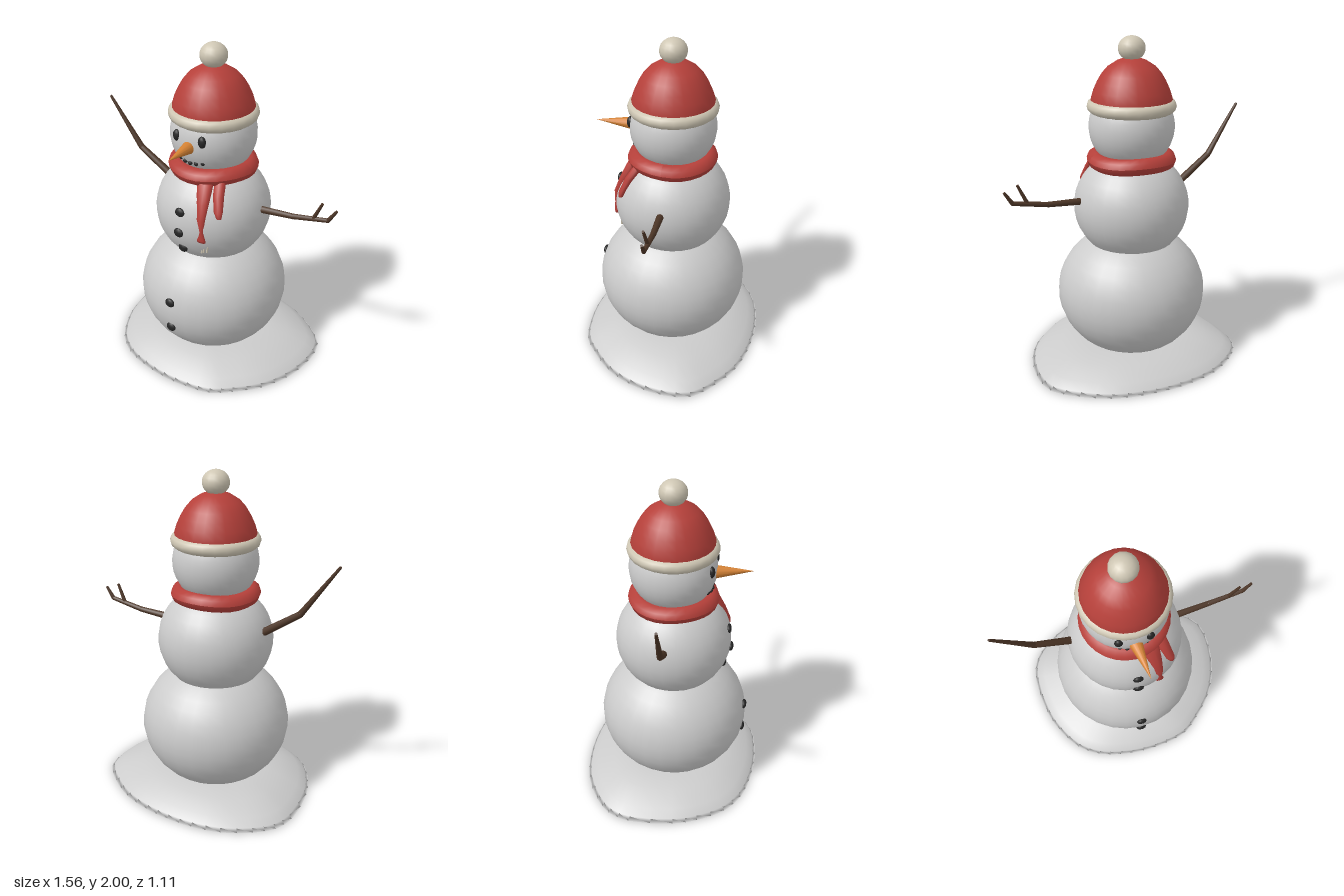
import * as THREE from 'three';

const mat = (color, extra = {}) => new THREE.MeshStandardMaterial({ color, ...extra });
const V = (x, y, z) => new THREE.Vector3(x, y, z);
const AXIS = -0.025; // x of the snowman's own axis

// Skin closed rings (listed bottom to top, counter-clockwise from above) and cap both ends
function loft(rings) {
  const n = rings[0].length, pos = [], idx = [];
  rings.forEach(r => r.forEach(p => pos.push(p.x, p.y, p.z)));
  for (let k = 0; k < rings.length - 1; k++) {
    for (let i = 0; i < n; i++) {
      const a = k * n + i, b = k * n + (i + 1) % n;
      idx.push(a, b, a + n, b, b + n, a + n);
    }
  }
  [0, rings.length - 1].forEach(k => {
    const c = pos.length / 3, mid = V(0, 0, 0);
    rings[k].forEach(p => mid.addScaledVector(p, 1 / n));
    pos.push(mid.x, mid.y, mid.z);
    for (let i = 0; i < n; i++) {
      const a = k * n + i, b = k * n + (i + 1) % n;
      if (k === 0) idx.push(c, b, a);
      else idx.push(c, a, b);
    }
  });
  const g = new THREE.BufferGeometry();
  g.setAttribute('position', new THREE.Float32BufferAttribute(pos, 3));
  g.setIndex(idx);
  g.computeVertexNormals();
  return g;
}

export function createModel() {
  const model = new THREE.Group();
  model.name = 'snowman';
  const snow = mat(0xcccccc), red = mat(0xb5403a), cream = mat(0xcfc7b4);
  const coal = mat(0x262626), carrot = mat(0xd58233), wood = mat(0x4d3627);

  const add = (name, geometry, material, x = 0, y = 0, z = 0, parent = model) => {
    const mesh = new THREE.Mesh(geometry, material);
    mesh.name = name;
    mesh.position.set(x, y, z);
    parent.add(mesh);
    return mesh;
  };
  const ball = (name, material, x, y, z, rx, ry, rz, seg = 24) => {
    const mesh = add(name, new THREE.SphereGeometry(1, seg, Math.ceil(seg * 0.65)), material, x, y, z);
    mesh.scale.set(rx, ry, rz);
    return mesh;
  };

  // Snow patch: uneven outline, domed in rings
  const outline = new THREE.CatmullRomCurve3([
    [0.65, -0.1], [0.62, -0.28], [0.485, -0.405], [0.32, -0.5], [0.14, -0.545], [-0.025, -0.557],
    [-0.19, -0.545], [-0.365, -0.5], [-0.53, -0.4], [-0.625, -0.3], [-0.665, -0.165], [-0.635, 0.11],
    [-0.58, 0.255], [-0.475, 0.41], [-0.34, 0.5], [-0.19, 0.54], [-0.025, 0.555], [0.15, 0.54],
    [0.3, 0.5], [0.41, 0.41], [0.535, 0.275], [0.615, 0.11],
  ].map(([x, z]) => V(x, 0, z)), true).getPoints(44).slice(0, 44);
  const patch = [[1, 0], [0.97, 0.02], [0.89, 0.055], [0.7, 0.105], [0.5, 0.125], [0.25, 0.13]];
  add('snowPatch', loft(patch.map(([s, y]) =>
    outline.map(p => V(AXIS + (p.x - AXIS) * s, y, p.z * s)))), snow);

  // Three snowballs
  ball('lowerBody', snow, AXIS, 0.43, 0.005, 0.46, 0.41, 0.46, 28);
  ball('upperBody', snow, AXIS, 0.99, 0.003, 0.35, 0.335, 0.35, 28);
  ball('head', snow, AXIS, 1.475, 0, 0.255, 0.25, 0.255, 28);

  // Coal buttons
  [[1.085, 0.335], [0.958, 0.352], [0.836, 0.313], [0.513, 0.456], [0.328, 0.452]].forEach(([y, z]) =>
    ball('button', coal, AXIS, y, z, 0.033, 0.029, 0.017, 10));

  // Face
  [-1, 1].forEach(s => ball('eye', coal, AXIS + s * 0.087, 1.51, 0.232, 0.025, 0.035, 0.02, 12));
  [-2, -1, 0, 1, 2].forEach(i =>
    ball('mouthCoal', coal, AXIS + i * 0.038, 1.36 + 0.0025 * i * i, 0.228 - 0.004 * i * i, 0.014, 0.014, 0.012, 8));
  const nose = add('nose', new THREE.ConeGeometry(0.044, 0.25, 12).rotateX(Math.PI / 2), carrot, -0.008, 1.468, 0.335);
  nose.rotation.set(-0.05, 0.13, 0);

  // Hat: dome, rolled brim and bobble
  const dome = [[0.24, 1.59], [0.24, 1.64], [0.225, 1.69], [0.202, 1.74], [0.175, 1.785],
    [0.14, 1.825], [0.085, 1.86], [0.035, 1.876], [0, 1.88]].map(([r, y]) => new THREE.Vector2(r, y));
  add('hatDome', new THREE.LatheGeometry(dome, 24), red, AXIS);
  const brim = add('hatBrim', new THREE.TorusGeometry(0.226, 0.038, 10, 24).rotateX(Math.PI / 2), cream, AXIS, 1.6, 0);
  brim.scale.set(1, 1.03, 1);
  ball('bobble', cream, AXIS, 1.928, 0, 0.08, 0.072, 0.08, 16);

  // Scarf wrap with gently uneven folds
  const wrap = new THREE.TorusGeometry(0.21, 0.058, 10, 28).rotateX(Math.PI / 2);
  const p = wrap.attributes.position;
  for (let i = 0; i < p.count; i++) {
    const a = Math.atan2(p.getZ(i), p.getX(i));
    p.setY(i, p.getY(i) * 0.88 + 0.005 * Math.sin(3 * a));
  }
  wrap.computeVertexNormals();
  add('scarfWrap', wrap, red, AXIS, 1.28, 0.003);

  // Hanging scarf ends: elliptical sections [x, y, z, half width, half depth]
  const tail = (name, sections) => add(name, loft(sections.map(([x, y, z, w, d]) =>
    Array.from({ length: 10 }, (_, i) => {
      const a = i / 10 * Math.PI * 2;
      return V(x + w * Math.cos(a), y, z - d * Math.sin(a));
    }))), red);
  tail('scarfLongEnd', [[0.11, 0.925, 0.315, 0.03, 0.014], [0.111, 0.94, 0.316, 0.028, 0.016],
    [0.114, 0.992, 0.316, 0.012, 0.012], [0.106, 1.07, 0.308, 0.027, 0.022],
    [0.09, 1.16, 0.268, 0.042, 0.03], [0.072, 1.26, 0.215, 0.052, 0.035]]);
  tail('scarfShortEnd', [[0.197, 1.085, 0.262, 0.016, 0.014], [0.186, 1.12, 0.252, 0.028, 0.022],
    [0.16, 1.2, 0.212, 0.034, 0.028], [0.14, 1.27, 0.165, 0.034, 0.03]]);

  // Loose fringe threads below the long end
  [[0.098, 0.845, 0.292, 0.03], [0.113, 0.855, 0.293, 0.03], [0.133, 0.868, 0.286, 0.05]].forEach(([x, y, z, h]) =>
    add('fringe', new THREE.CylinderGeometry(0.005, 0.006, h, 6), cream, x, y, z).rotation.z = -0.15);

  // Stick arms: tapered segments with rounded joints, points as [x, y, z, radius]
  const stick = (parent, name, pts) => {
    for (let i = 0; i < pts.length - 1; i++) {
      const [a, b] = [V(...pts[i]), V(...pts[i + 1])], dir = b.clone().sub(a);
      const m = a.clone().lerp(b, 0.5);
      const seg = add(name, new THREE.CylinderGeometry(pts[i + 1][3], pts[i][3], dir.length(), 8), wood, m.x, m.y, m.z, parent);
      seg.quaternion.setFromUnitVectors(V(0, 1, 0), dir.normalize());
      if (i) add('joint', new THREE.SphereGeometry(pts[i][3], 8, 6), wood, a.x, a.y, a.z, parent);
    }
  };
  const rightArm = new THREE.Group(), leftArm = new THREE.Group();
  rightArm.name = 'rightArm';
  leftArm.name = 'leftArm';
  model.add(rightArm, leftArm);
  stick(rightArm, 'branch', [[-0.33, 1.075, 0, 0.024], [-0.565, 1.235, 0.03, 0.019], [-0.775, 1.54, 0.057, 0.008]]);
  stick(leftArm, 'branch', [[0.3, 1.055, -0.01, 0.022], [0.51, 1.07, -0.028, 0.017],
    [0.725, 1.11, -0.042, 0.013], [0.772, 1.182, -0.047, 0.008]]);
  stick(leftArm, 'twig', [[0.635, 1.092, -0.036, 0.012], [0.69, 1.21, -0.03, 0.008]]);

  return model;
}
